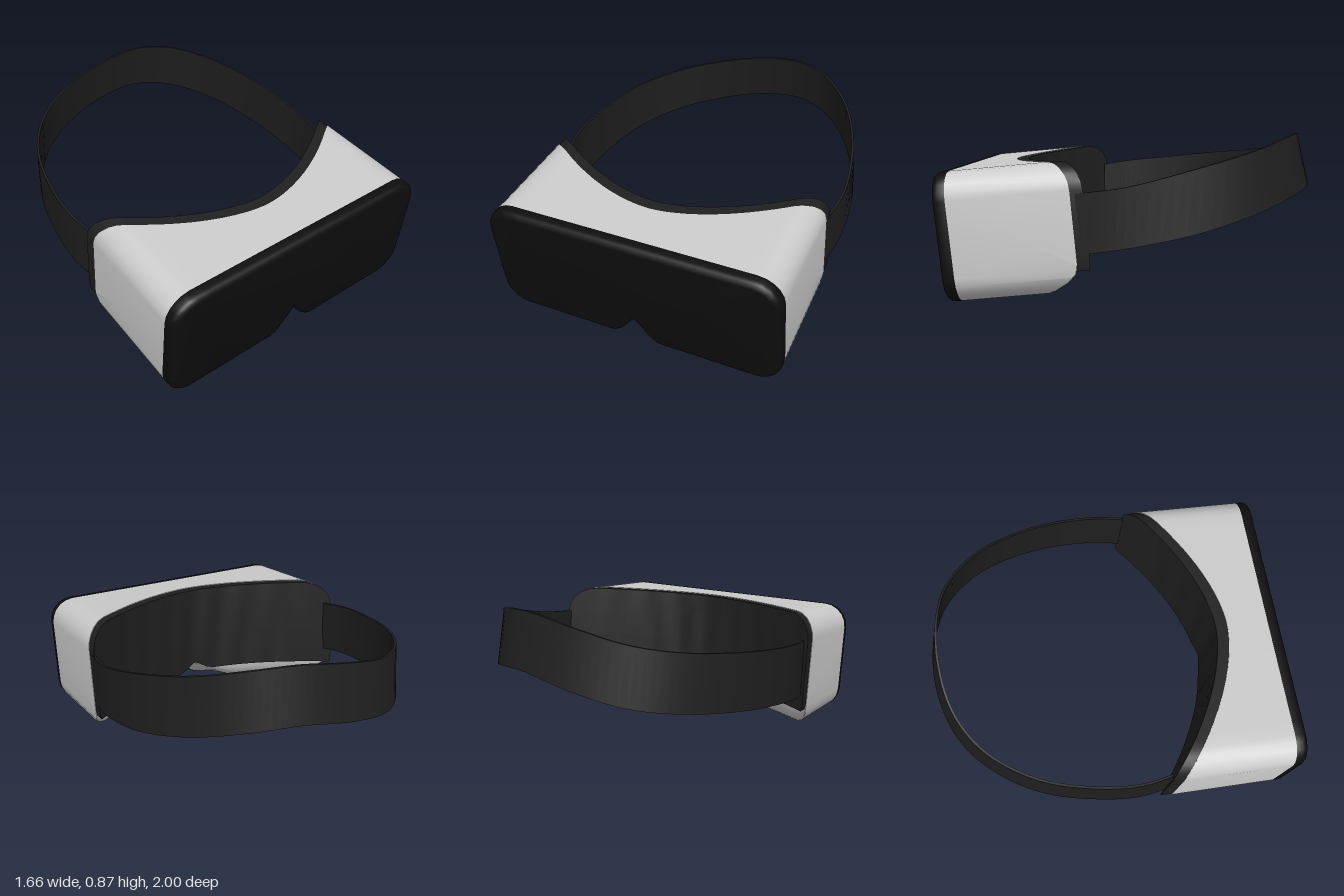
import * as THREE from 'three';
import { toCreasedNormals } from 'three/addons/utils/BufferGeometryUtils.js';

const HALF = 0.82, TOP = 0.675, R = 0.14;

// Skin a row of closed rings (arrays of Vector3) and cap both ends.
function loft(rings, crease = 0.6) {
  const n = rings[0].length, pos = [], idx = [];
  rings.forEach(r => r.forEach(p => pos.push(p.x, p.y, p.z)));
  for (let j = 0; j < rings.length - 1; j++) {
    for (let i = 0; i < n; i++) {
      const a = j * n + i, d = j * n + (i + 1) % n;
      idx.push(a, a + n, d + n, a, d + n, d);
    }
  }
  [0, rings.length - 1].forEach((j, end) => {
    const c = new THREE.Vector3();
    rings[j].forEach(p => c.addScaledVector(p, 1 / n));
    const k = pos.length / 3;
    pos.push(c.x, c.y, c.z);
    for (let i = 0; i < n; i++) {
      const a = j * n + i, b = j * n + (i + 1) % n;
      if (end) idx.push(k, b, a); else idx.push(k, a, b);
    }
  });
  const g = new THREE.BufferGeometry();
  g.setAttribute('position', new THREE.Float32BufferAttribute(pos, 3));
  g.setIndex(idx);
  return toCreasedNormals(g, crease);
}

// Height lost to the rounded corners at |x|
function corner(x) {
  const d = Math.min(R, Math.max(0, Math.abs(x) - (HALF - R)));
  return R - Math.sqrt(R * R - d * d);
}
const topY = x => TOP - corner(x);

// Lower edge with the nose notch
function bottomY(x) {
  const a = Math.abs(x);
  const notch = a < 0.07 ? 0.14 - a * 1.3 : a < 0.14 ? 0.049 * ((0.14 - a) / 0.07) ** 1.6 : 0;
  return Math.max(corner(x), notch);
}

// Face-hugging curve of the rear edge
const backZ = x => -0.307 - 0.385 * Math.pow(Math.abs(x) / HALF, 1.75);
const rearBottom = x => Math.max(bottomY(x), 0.17 * (1 - Math.abs(x) / 0.3));
const gasketBottom = x => Math.max(rearBottom(x) + 0.02, 0.13);

// Mirrored list of x stations
function stations(half) {
  const list = [...half];
  for (let i = 1; i <= 5; i++) list.push(HALF - R + R * Math.sin(i * Math.PI / 10));
  return [...list.slice().reverse().map(x => -x), 0, ...list];
}

export function createModel() {
  const model = new THREE.Group();
  const mat = color => new THREE.MeshStandardMaterial({ color });
  const black = mat(0x0d0d0d), dark = mat(0x1f1f1f), grey = mat(0xcccccc);
  const add = (parent, name, geometry, material) => {
    const m = new THREE.Mesh(geometry, material);
    m.name = name;
    parent.add(m);
  };

  const headset = new THREE.Group();
  headset.name = 'headset';
  headset.position.set(0.008, 0.009, 0.925);
  headset.rotation.set(0.095, 0.016, 0.012);
  model.add(headset);

  const xs = stations([0.035, 0.07, 0.09, 0.11, 0.14, 0.2, 0.26, 0.33, 0.4, 0.47, 0.54, 0.61, 0.68]);

  // Front plate with softened rim
  const outline = [
    ...xs.map(x => new THREE.Vector2(x, bottomY(x))),
    ...xs.slice().reverse().map(x => new THREE.Vector2(x, topY(x))),
  ];
  const plate = new THREE.ExtrudeGeometry(new THREE.Shape(outline), {
    depth: 0.035, bevelThickness: 0.035, bevelSize: 0.03, bevelOffset: -0.03, bevelSegments: 3,
  });
  plate.translate(0, 0, -0.07);
  add(headset, 'frontPlate', toCreasedNormals(plate, 0.6), black);

  // Body shell, its underside rounding up to the gasket
  add(headset, 'body', loft(xs.map(x => {
    const b = bottomY(x), r = rearBottom(x), t = topY(x), z = backZ(x), g = gasketBottom(x);
    const k = (g - r) / 0.13;
    return [
      [b, -0.07], [t, -0.07], [t, z], [g, z],
      [r + (g - r) * 0.5, z + 0.02 * k], [r + (g - r) * 0.15, z + 0.06 * k], [r, z + 0.1 * k],
    ].map(([y, zz]) => new THREE.Vector3(x, y, zz));
  })), grey);

  // Face gasket with soft vertical folds
  const half = [];
  for (let x = 0.04; x < 0.69; x += 0.04) half.push(x);
  const rows = [1, 0.9, 0.7, 0.45, 0.2, 0];
  add(headset, 'faceGasket', loft(stations(half).map(x => {
    const t = topY(x) - 0.004, g = gasketBottom(x) - 0.004, z = backZ(x);
    const fade = Math.max(0, 1 - (x / 0.75) ** 4);
    const ring = [[g, z + 0.03], [t, z + 0.03]];
    rows.forEach(f => {
      const fold = 0.009 * Math.cos(x * 34) * Math.sin(Math.PI * f) * fade;
      ring.push([g + (t - g) * f, z - 0.066 + fold]);
    });
    return ring.map(([y, zz]) => new THREE.Vector3(x * 0.996, y, zz));
  }), 0.8), dark);

  // Head strap: x, z, top height, bottom height, outward lean of the lower edge
  const path = [
    [0.80, 0.25, 0.60, 0.29, 0], [0.822, 0, 0.635, 0.33, 0.002],
    [0.765, -0.35, 0.72, 0.40, 0.014], [0.62, -0.66, 0.80, 0.49, 0.022],
    [0.41, -0.86, 0.86, 0.56, 0.028], [0.2, -0.94, 0.87, 0.58, 0.033],
    [-0.08, -0.958, 0.825, 0.53, 0.034], [-0.35, -0.89, 0.765, 0.465, 0.024],
    [-0.56, -0.735, 0.725, 0.425, 0.012], [-0.73, -0.47, 0.69, 0.385, 0.004],
    [-0.81, -0.15, 0.65, 0.34, 0], [-0.822, 0.08, 0.625, 0.31, 0],
    [-0.79, 0.25, 0.60, 0.285, 0],
  ];
  const out = (x, z) => new THREE.Vector3(x, 0, z < -0.1 ? z + 0.1 : 0).normalize();
  const edge = (col, sign) => new THREE.CatmullRomCurve3(path.map(p =>
    new THREE.Vector3(p[0], p[col], p[1]).addScaledVector(out(p[0], p[1]), sign * p[4])));
  const upper = edge(2, -1), lower = edge(3, 1);
  const rings = [];
  for (let i = 0; i <= 72; i++) {
    const t = upper.getPoint(i / 72), b = lower.getPoint(i / 72);
    const o = out((t.x + b.x) / 2, (t.z + b.z) / 2).multiplyScalar(0.007);
    rings.push([b.clone().add(o), t.clone().add(o), t.clone().sub(o), b.clone().sub(o)]);
  }
  add(model, 'headStrap', loft(rings), dark);

  return model;
}
